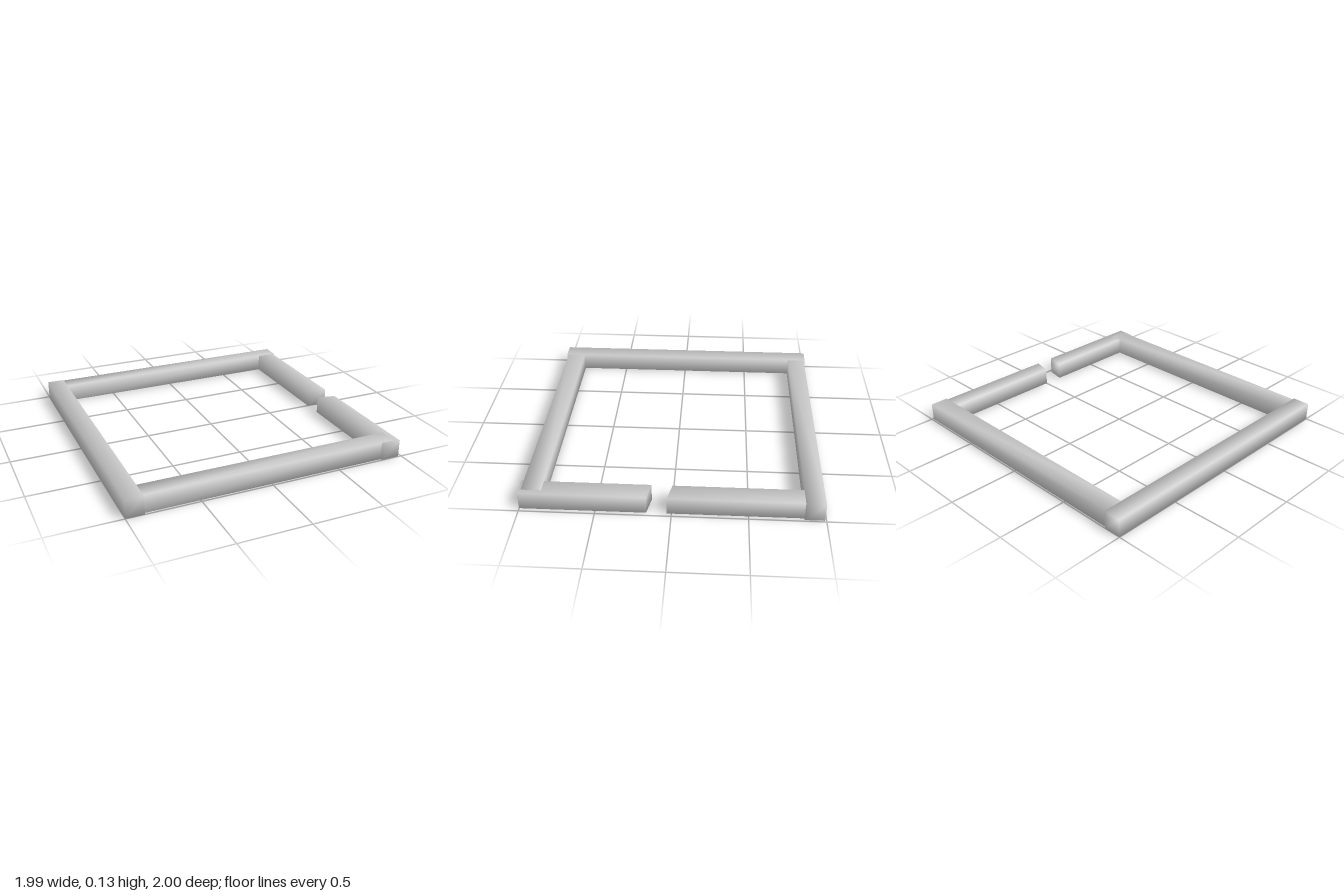
import * as THREE from 'three';
import { mergeVertices } from 'three/addons/utils/BufferGeometryUtils.js';

const material = new THREE.MeshStandardMaterial({ color: 0xcccccc });

// Square bar between the given limits, with normals shared across its corners.
// skew(x, z) optionally returns a new z for a corner, for slanted ends.
function bar(name, [x0, x1], [y0, y1], [z0, z1], skew) {
  const box = new THREE.BoxGeometry(x1 - x0, y1 - y0, z1 - z0);
  box.translate((x0 + x1) / 2, (y0 + y1) / 2, (z0 + z1) / 2);
  box.deleteAttribute('normal');
  box.deleteAttribute('uv');
  const geometry = mergeVertices(box);
  const p = geometry.attributes.position;
  if (skew) {
    for (let i = 0; i < p.count; i++) p.setZ(i, skew(p.getX(i), p.getZ(i)));
  }
  geometry.computeVertexNormals();
  const mesh = new THREE.Mesh(geometry, material);
  mesh.name = name;
  return mesh;
}

export function createModel() {
  const group = new THREE.Group();
  group.name = 'squareFrame';

  // Three whole sides, lapped slightly at the corners
  group.add(bar('rightSideBar', [-1, -0.875], [0, 0.128], [-1, 1]));
  group.add(bar('backBar', [-0.93, 0.99], [0.001, 0.127], [-0.99, -0.86]));
  group.add(bar('frontBar', [-0.93, 0.935], [0.001, 0.127], [0.85, 0.985]));

  // Fourth side, split by a slanted gap
  const across = [0.84, 0.975];
  const height = [0.002, 0.126];
  const slant = (x) => (x > 0.9 ? 0.03 : 0);
  group.add(bar('leftSideBarBack', across, height, [-0.93, 0],
    (x, z) => (z > -0.5 ? z + slant(x) : z)));
  group.add(bar('leftSideBarFront', across, height, [0.138, 1],
    (x, z) => (z < 0.5 ? z + slant(x) * 0.9 : z)));

  return group;
}
